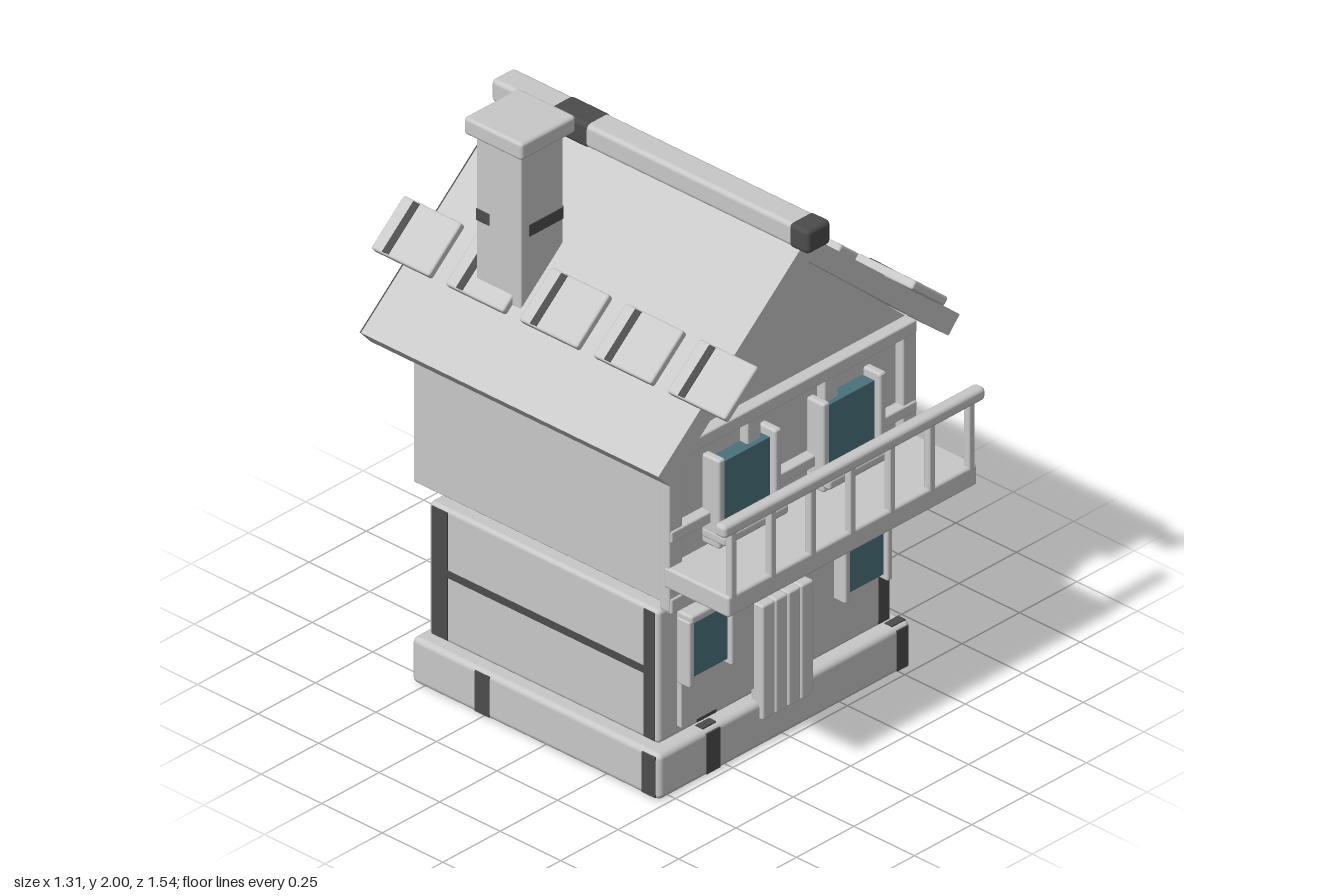
import * as THREE from 'three';
import { RoundedBoxGeometry } from 'three/addons/geometries/RoundedBoxGeometry.js';

const stone = new THREE.MeshStandardMaterial({ color: 0xc8c8c8 });
stone.name = 'pale grey';
const dark = new THREE.MeshStandardMaterial({ color: 0x4c4c4c });
dark.name = 'dark grey';
const glass = new THREE.MeshStandardMaterial({ color: 0x48737d });
glass.name = 'teal glass';

export function createModel() {
  const root = new THREE.Group();
  root.name = 'house';

  // Box given by its extents; r > 0 rounds the edges
  function box(name, mat, x0, x1, y0, y1, z0, z1, r = 0, parent = root) {
    const w = x1 - x0, h = y1 - y0, d = z1 - z0;
    const geo = r ? new RoundedBoxGeometry(w, h, d, 2, r) : new THREE.BoxGeometry(w, h, d);
    const mesh = new THREE.Mesh(geo, mat);
    mesh.position.set((x0 + x1) / 2, (y0 + y1) / 2, (z0 + z1) / 2);
    mesh.name = name;
    parent.add(mesh);
    return mesh;
  }
  // Thin painted joints on the front/back (fixed z) and on the sides (fixed x)
  const T = 0.003;
  const jointZ = (z, x0, x1, y0, y1) => box('joint', dark, x0, x1, y0, y1, z - T, z + T);
  const jointX = (x, z0, z1, y0, y1) => box('joint', dark, x - T, x + T, y0, y1, z0, z1);

  // Plinth
  box('plinth', stone, -0.55, 0.55, 0, 0.16, -0.545, 0.48, 0.02);
  jointZ(0.48, -0.345, -0.285, 0.01, 0.15);
  jointZ(0.48, 0.485, 0.535, 0.01, 0.15);
  jointZ(-0.545, -0.03, 0.03, 0.01, 0.15);
  jointX(0.55, -0.3, -0.235, 0.01, 0.15);
  jointX(-0.55, -0.28, -0.22, 0.01, 0.15);
  jointX(-0.55, 0.41, 0.465, 0.01, 0.15);
  for (const x of [-0.315, 0.51]) box('topJoint', dark, x - 0.03, x + 0.03, 0.157, 0.163, 0.435, 0.465);
  box('topJoint', dark, 0.5, 0.535, 0.157, 0.163, -0.3, -0.235);
  box('bottomJoint', dark, -0.53, 0.53, 0, 0.003, -0.42, -0.34);

  // Lower storey
  box('lowerStorey', stone, -0.51, 0.505, 0.165, 0.63, -0.51, 0.44, 0.015);
  jointZ(0.44, 0.445, 0.493, 0.175, 0.62);
  jointZ(0.44, -0.345, -0.26, 0.175, 0.2);
  jointZ(0.44, -0.33, -0.26, 0.61, 0.622);
  jointX(0.505, -0.275, -0.215, 0.175, 0.62);
  jointX(0.505, -0.495, -0.275, 0.395, 0.425);
  jointX(0.505, 0.38, 0.428, 0.175, 0.62);
  jointZ(-0.51, -0.01, 0.05, 0.175, 0.62);
  jointZ(-0.51, 0.05, 0.49, 0.395, 0.425);
  jointX(-0.51, -0.495, -0.43, 0.175, 0.62);
  jointX(-0.51, -0.43, 0.4, 0.395, 0.42);
  jointX(-0.51, 0.38, 0.425, 0.175, 0.62);
  box('frontPanel', stone, -0.43, 0.43, 0.2, 0.6, 0.43, 0.458);

  // Door made of upright planks
  const door = new THREE.Group();
  door.name = 'door';
  root.add(door);
  box('doorBoard', stone, -0.105, 0.1, 0.11, 0.49, 0.44, 0.485, 0, door);
  for (let i = 0; i < 4; i++) {
    const x = -0.113 + i * 0.056;
    box('doorPlank', stone, x, x + 0.054, 0.1, 0.5, 0.445, 0.495, 0.008, door);
  }

  // Windows, mirrored on both storeys
  for (const s of [-1, 1]) {
    const lower = new THREE.Group();
    lower.name = 'lowerWindow';
    root.add(lower);
    const cx = s * 0.34;
    box('pane', glass, cx - 0.082, cx + 0.082, 0.38, 0.575, 0.45, 0.488, 0, lower);
    for (const t of [-1, 1])
      box('windowPost', stone, cx + t * 0.092 - 0.012, cx + t * 0.092 + 0.012, 0.36, 0.59, 0.45, 0.505, 0.007, lower);
    box('windowHead', stone, cx - 0.1, cx + 0.1, 0.58, 0.61, 0.45, 0.51, 0.009, lower);

    const upper = new THREE.Group();
    upper.name = 'upperWindow';
    root.add(upper);
    const ux = s * 0.228;
    box('pane', glass, ux - 0.108, ux + 0.108, 0.9, 1.11, 0.48, 0.53, 0, upper);
    for (const t of [-1, 1])
      box('windowPost', stone, ux + t * 0.123 - 0.015, ux + t * 0.123 + 0.015, 0.83, 1.14, 0.48, 0.553, 0.009, upper);
    box('windowSill', stone, ux - 0.14, ux + 0.14, 0.85, 0.885, 0.48, 0.58, 0.01, upper);
  }

  // Upper storey with timber framing on the front
  box('upperStorey', stone, -0.54, 0.54, 0.695, 1.23, -0.545, 0.48, 0.006);
  for (const x of [-0.51, -0.168, 0.168, 0.51])
    box('framePost', stone, x - 0.03, x + 0.03, 0.67, 1.225, 0.47, 0.512, 0.006);
  for (const [y0, y1] of [[0.662, 0.715], [0.745, 0.8], [0.91, 0.95], [1.185, 1.232]])
    box('frameBeam', stone, -0.535, 0.535, y0, y1, 0.47, 0.518, 0.006);

  // Shape in the front plane pulled along z
  function slab(name, mat, points, z0, depth) {
    const shape = new THREE.Shape(points.map(([x, y]) => new THREE.Vector2(x, y)));
    const mesh = new THREE.Mesh(new THREE.ExtrudeGeometry(shape, { depth, bevelEnabled: false }), mat);
    mesh.position.z = z0;
    mesh.name = name;
    root.add(mesh);
  }
  // Gable and roof, with a dark rear edge
  slab('gable', stone, [[-0.54, 1.22], [0.54, 1.22], [0, 1.7]], -0.54, 1.015);
  const roof = [[0, 1.78], [-0.657, 1.222], [-0.608, 1.168], [0, 1.69], [0.608, 1.168], [0.657, 1.222]];
  slab('roof', stone, roof, -0.65, 1.228);
  slab('roofRearEdge', dark, roof, -0.655, 0.005);

  // Ridge beam with two dark bands
  box('ridge', stone, -0.05, 0.05, 1.75, 1.83, -0.69, 0.62, 0.016);
  box('ridgeBand', dark, -0.052, 0.052, 1.748, 1.832, -0.45, -0.285, 0.016);
  box('ridgeBand', dark, -0.052, 0.052, 1.748, 1.832, 0.54, 0.622, 0.016);

  // A row of large tiles on each slope
  const slope = Math.atan2(0.558, 0.657);
  for (const s of [-1, 1]) {
    for (let i = 0; i < 5; i++) {
      const tile = new THREE.Group();
      tile.name = 'roofTile';
      tile.position.set(s * 0.408, 1.448, -0.65 + i * 0.3055);
      tile.rotation.z = -s * slope;
      root.add(tile);
      box('tile', stone, -0.095, 0.095, -0.015, 0.015, -0.12, 0.12, 0.008, tile);
      box('tileCrack', dark, -0.09, 0.09, 0.012, 0.017, -0.074, -0.048, 0, tile);
    }
  }

  // Chimney
  box('chimney', stone, -0.445, -0.26, 1.33, 1.95, -0.375, -0.19, 0.006);
  box('chimneyCap', stone, -0.475, -0.235, 1.94, 2, -0.4, -0.16, 0.012);
  jointZ(-0.19, -0.41, -0.262, 1.64, 1.68);
  jointZ(-0.375, -0.31, -0.262, 1.64, 1.68);
  jointX(-0.26, -0.25, -0.192, 1.64, 1.68);
  jointX(-0.445, -0.373, -0.32, 1.64, 1.68);

  // Balcony
  const balcony = new THREE.Group();
  balcony.name = 'balcony';
  root.add(balcony);
  box('balconyFloor', stone, -0.543, 0.543, 0.752, 0.825, 0.49, 0.76, 0.01, balcony);
  box('handrail', stone, -0.57, 0.57, 1.04, 1.085, 0.725, 0.77, 0.014, balcony);
  for (let i = -3; i <= 3; i++)
    box('baluster', stone, i * 0.173 - 0.013, i * 0.173 + 0.013, 0.81, 1.05, 0.735, 0.761, 0.006, balcony);
  for (const s of [-1, 1]) {
    const bracket = box('bracket', stone, s * 0.425 - 0.02, s * 0.425 + 0.02, 0.705, 0.745, 0.5, 0.64, 0.006, balcony);
    bracket.rotation.x = -0.6;
    const face = box('bracketFace', dark, s * 0.425 - 0.02, s * 0.425 + 0.02, 0.683, 0.752, 0.518, 0.524, 0, balcony);
    face.position.z = 0.57;
    face.rotation.x = 0.95;
  }

  return root;
}
